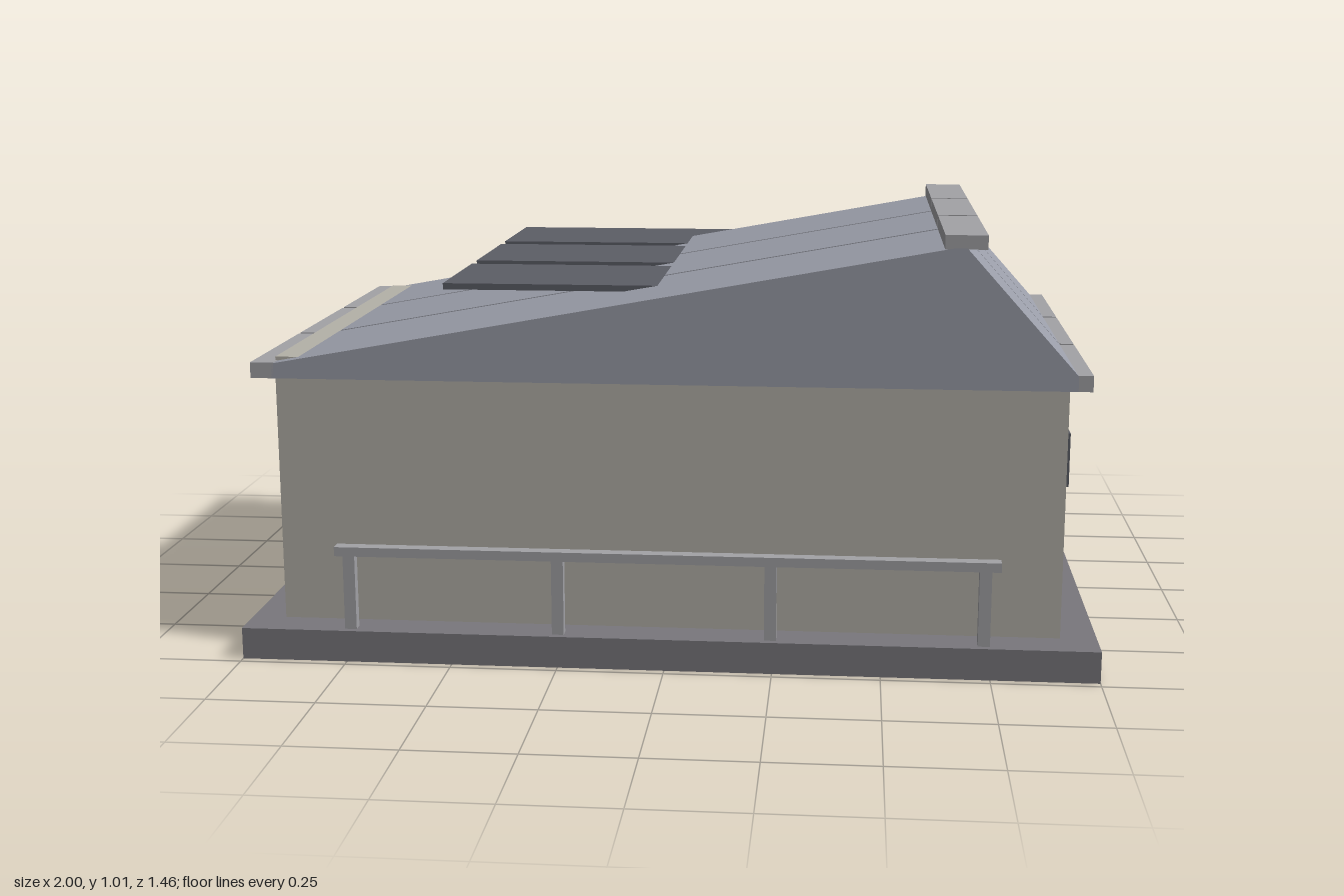
import * as THREE from 'three';

const mat = (color) => new THREE.MeshStandardMaterial({ color, flatShading: true });

export function createModel() {
  const model = new THREE.Group();
  const wall = mat(0xb4b1a8), roof = mat(0x9a9da8), dark = mat(0x5c5e66);
  const slab = mat(0x79777c), trim = mat(0xa2a2a6), olive = mat(0x7a7258);

  // Box given by its extents on each axis
  function box(name, material, [x0, x1], [y0, y1], [z0, z1]) {
    const mesh = new THREE.Mesh(new THREE.BoxGeometry(x1 - x0, y1 - y0, z1 - z0), material);
    mesh.position.set((x0 + x1) / 2, (y0 + y1) / 2, (z0 + z1) / 2);
    mesh.name = name;
    model.add(mesh);
    return mesh;
  }

  // Foundation and building body
  box('foundation', slab, [-1, 1], [0, 0.075], [-0.67, 0.73]);
  box('walls', wall, [-0.92, 0.915], [0.075, 0.667], [-0.515, 0.64]);
  box('rightWallTop', wall, [-0.92, -0.865], [0.667, 0.71], [-0.515, 0.635]);
  box('sideHatch', olive, [-0.93, -0.915], [0.075, 0.185], [0.33, 0.58]);

  // Three roof bays, each with a lopsided gable, ridge cap and gutters
  const profile = new THREE.Shape([
    [-0.92, 0.665], [0.93, 0.665], [0.93, 0.7], [0.675, 0.985], [0.645, 0.985], [-0.92, 0.7],
  ].map(([x, y]) => new THREE.Vector2(x, y)));
  for (const [z0, z1] of [[-0.55, -0.152], [-0.138, 0.26], [0.275, 0.67]]) {
    const bay = new THREE.Mesh(
      new THREE.ExtrudeGeometry(profile, { depth: z1 - z0, bevelEnabled: false }), roof);
    bay.position.z = z0;
    bay.name = 'roofBay';
    model.add(bay);
    box('ridgeCap', trim, [0.625, 0.72], [0.983, 1.015], [z0, z1]);
    box('gutterRight', trim, [-0.97, -0.915], [0.665, 0.702], [z0, z1]);
    box('gutterLeft', trim, [0.915, 0.963], [0.665, 0.702], [z0, z1]);
  }

  // Flat panels that run into the roof slope
  for (const z of [-0.73, -0.32, 0.095])
    box('solarPanel', dark, [-0.56, 0.17], [0.845, 0.86], [z, z + 0.35]);

  // Side windows
  for (const z of [-0.308, 0.032, 0.372])
    box('window', dark, [0.91, 0.94], [0.395, 0.525], [z - 0.103, z + 0.103]);

  // Columns along the loading side
  for (const x of [-0.895, -0.303, 0.29, 0.89])
    box('column', trim, [x - 0.022, x + 0.022], [0.075, 0.7], [-0.563, -0.51]);

  // Loading docks: shutter, slats, hood, pad and bumpers
  for (const x of [-0.6, 0, 0.6]) {
    box('shutter', dark, [x - 0.18, x + 0.18], [0.075, 0.51], [-0.535, -0.51]);
    for (let i = 0; i < 5; i++) {
      const y = 0.15 + i * 0.075;
      box('shutterSlat', dark, [x - 0.17, x + 0.17], [y, y + 0.014], [-0.546, -0.53]);
    }
    box('dockHood', wall, [x - 0.205, x + 0.205], [0.505, 0.552], [-0.58, -0.51]);
    box('dockPad', wall, [x - 0.21, x + 0.21], [0.075, 0.094], [-0.663, -0.55]);
    for (const s of [-1, 1])
      box('dockBumper', dark, [x + s * 0.175 - 0.023, x + s * 0.175 + 0.023], [0.075, 0.148], [-0.577, -0.51]);
  }

  // Front railing
  box('railingBar', trim, [-0.775, 0.77], [0.253, 0.275], [0.687, 0.717]);
  for (const x of [-0.742, -0.25, 0.245, 0.735])
    box('railingPost', trim, [x - 0.014, x + 0.014], [0.075, 0.255], [0.69, 0.714]);

  return model;
}
